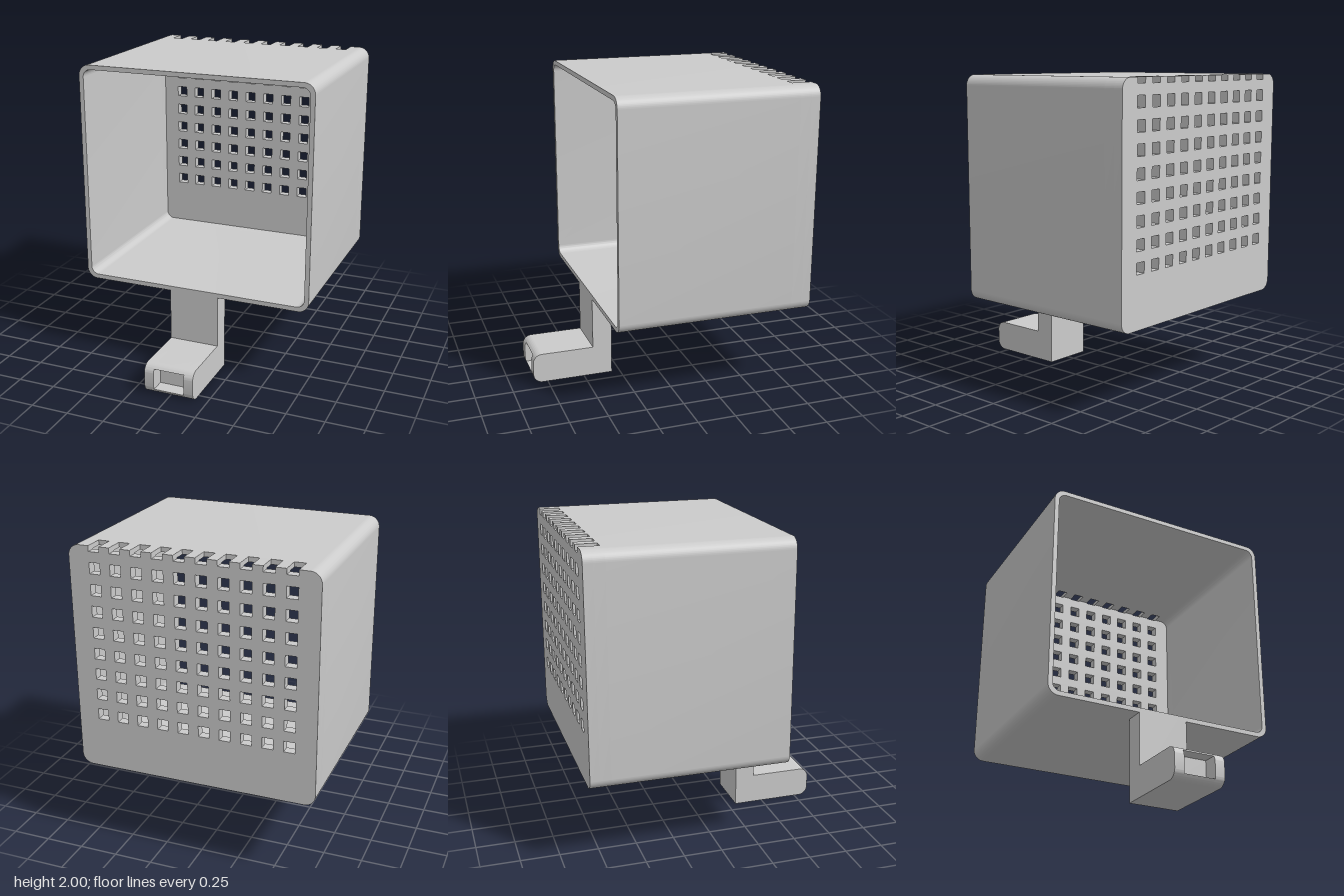
import * as THREE from 'three';
import { toCreasedNormals } from 'three/addons/utils/BufferGeometryUtils.js';

const W = 0.78, Y0 = 0.545, Y1 = 2, R = 0.07, T = 0.03;    // housing half width, bottom, top, corner radius, wall
const FRONT = 0.435, BACK = -0.845, BACK_IN = -0.785, SLOT_END = -0.715;
const COLS = 10, ROWS = 8, PITCH = 0.136, HALF = 0.035;    // vent grid
const FLOOR = 1.965;                                       // bottom of the top slots
const columnX = (i) => (i - (COLS - 1) / 2) * PITCH;
const SLOT_EDGE = columnX(COLS - 1) + HALF;
const H = Math.PI / 2;

const material = new THREE.MeshStandardMaterial({ color: 0xcccccc });

function extrude(name, shape, depth) {
  const geometry = new THREE.ExtrudeGeometry(shape, { depth, bevelEnabled: false, curveSegments: 12 });
  const mesh = new THREE.Mesh(toCreasedNormals(geometry, 0.5), material);
  mesh.name = name;
  return mesh;
}

// Housing outline, counter-clockwise from top left; inset moves it inwards
function outline(path, inset, r) {
  const w = W - inset, b = Y0 + inset, t = Y1 - inset;
  path.absarc(-w + r, t - r, r, H, 2 * H);
  path.absarc(-w + r, b + r, r, 2 * H, 3 * H);
  path.absarc(w - r, b + r, r, 3 * H, 4 * H);
  path.absarc(w - r, t - r, r, 0, H);
  return path;
}

function rect(path, x0, y0, x1, y1) {
  path.moveTo(x0, y0).lineTo(x0, y1).lineTo(x1, y1).lineTo(x1, y0).closePath();
  return path;
}

// Side profile of the arm and foot, drawn as (z, y); pocket cuts into the foot's front
function armShape(pocket) {
  const r = 0.06, z = 0.785, s = new THREE.Shape();
  s.moveTo(0.305, Y0).lineTo(0.305, 0);
  if (pocket) {
    const a = Math.asin(0.025 / r), b = Math.asin(0.035 / r);
    s.absarc(z, r, r, -H, -a);
    s.lineTo(0.745, 0.035).lineTo(0.745, 0.175);
    s.absarc(z, 0.14, r, b, H);
  } else {
    s.absarc(z, r, r, -H, 0);
    s.absarc(z, 0.14, r, 0, H);
  }
  s.lineTo(FRONT, 0.2).lineTo(FRONT, Y0).closePath();
  return s;
}

export function createModel() {
  const model = new THREE.Group();
  model.name = 'ventedHousing';

  // Main open-fronted sleeve
  const ring = outline(new THREE.Shape(), 0, R);
  ring.holes.push(outline(new THREE.Path(), T, 0.05));
  const sleeve = extrude('sleeve', ring, FRONT - SLOT_END);
  sleeve.position.z = SLOT_END;
  model.add(sleeve);

  // Rear stretch of the sleeve, left open at the top where the slots cut through
  const u = new THREE.Shape(), wi = W - T, ri = 0.05;
  u.moveTo(SLOT_EDGE, Y1 - T).lineTo(SLOT_EDGE, Y1);
  u.absarc(W - R, Y1 - R, R, H, 0, true);
  u.absarc(W - R, Y0 + R, R, 0, -H, true);
  u.absarc(-W + R, Y0 + R, R, -H, -2 * H, true);
  u.absarc(-W + R, Y1 - R, R, 2 * H, H, true);
  u.lineTo(-SLOT_EDGE, Y1).lineTo(-SLOT_EDGE, Y1 - T);
  u.absarc(-wi + ri, Y1 - T - ri, ri, H, 2 * H);
  u.absarc(-wi + ri, Y0 + T + ri, ri, 2 * H, 3 * H);
  u.absarc(wi - ri, Y0 + T + ri, ri, 3 * H, 4 * H);
  u.absarc(wi - ri, Y1 - T - ri, ri, 0, H);
  const rear = extrude('rearSleeve', u, SLOT_END - BACK_IN);
  rear.position.z = BACK_IN;
  model.add(rear);

  // Bars between the top slots
  const barGeometry = new THREE.BoxGeometry(PITCH - 2 * HALF, T, SLOT_END - BACK_IN);
  for (let i = 0; i < COLS - 1; i++) {
    const bar = new THREE.Mesh(barGeometry, material);
    bar.name = 'slotBar';
    bar.position.set(columnX(i) + PITCH / 2, Y1 - T / 2, (SLOT_END + BACK_IN) / 2);
    model.add(bar);
  }

  // Back wall with notched top edge and vent grid
  const wall = outline(new THREE.Shape(), 0, R);
  for (let i = COLS - 1; i >= 0; i--) {
    const x = columnX(i);
    wall.lineTo(x + HALF, Y1).lineTo(x + HALF, FLOOR).lineTo(x - HALF, FLOOR).lineTo(x - HALF, Y1);
  }
  for (let i = 0; i < COLS; i++) {
    for (let j = 1; j <= ROWS; j++) {
      const x = columnX(i), y = Y1 - j * PITCH;
      wall.holes.push(rect(new THREE.Path(), x - HALF, y - HALF, x + HALF, y + HALF));
    }
  }
  const back = extrude('backWall', wall, BACK_IN - BACK);
  back.position.z = BACK;
  model.add(back);

  // Arm and foot: two solid cheeks and a middle with the front pocket
  const arm = new THREE.Group();
  arm.name = 'mountingArm';
  const cheek = 0.167, inner = 0.103;
  for (const [name, from, to, pocket] of [
    ['leftCheek', cheek, inner, false],
    ['pocketCore', inner, -inner, true],
    ['rightCheek', -inner, -cheek, false],
  ]) {
    const part = extrude(name, armShape(pocket), from - to);
    part.rotation.y = -H;
    part.position.x = from;
    arm.add(part);
  }
  model.add(arm);
  return model;
}
